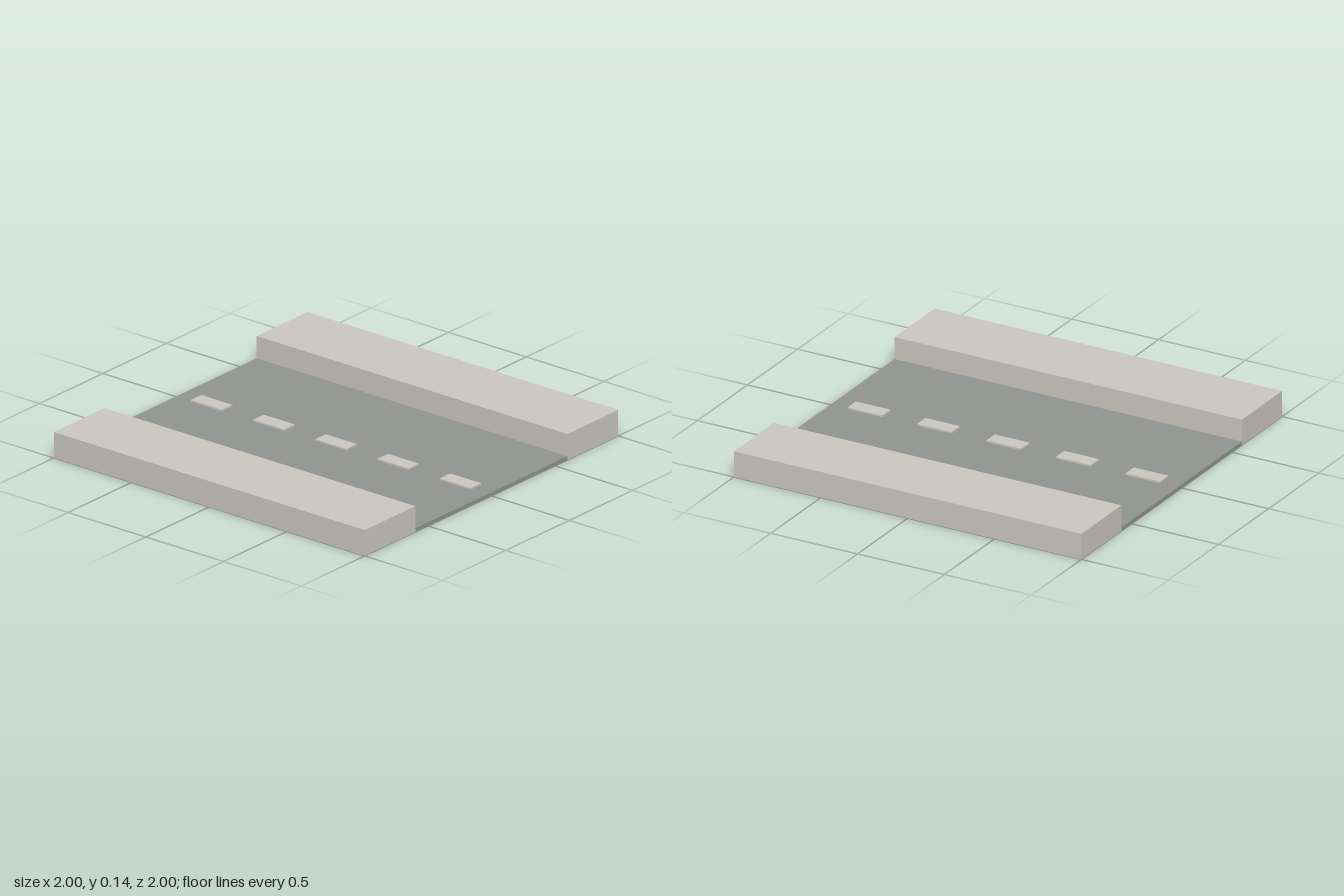
import * as THREE from 'three';

export function createModel() {
  const model = new THREE.Group();
  model.name = 'roadSection';

  const paleConcrete = new THREE.MeshStandardMaterial({ name: 'paleConcrete', color: 0xc9c5be });
  const greyAsphalt = new THREE.MeshStandardMaterial({ name: 'greyAsphalt', color: 0x8f928e });

  // Box resting on height y
  function block(name, material, width, height, depth, x, y, z) {
    const mesh = new THREE.Mesh(new THREE.BoxGeometry(width, height, depth), material);
    mesh.name = name;
    mesh.position.set(x, y + height / 2, z);
    model.add(mesh);
  }

  // Road bed between the pavements
  block('roadSurface', greyAsphalt, 2, 0.02, 1.2, 0, 0, 0);

  // Raised pavement along each side
  block('frontPavement', paleConcrete, 2, 0.14, 0.4, 0, 0, 0.8);
  block('backPavement', paleConcrete, 2, 0.14, 0.4, 0, 0, -0.8);

  // Dashed centre line
  for (let i = 0; i < 5; i++) {
    block(`laneDash${i + 1}`, paleConcrete, 0.2, 0.009, 0.084, -0.8 + i * 0.4, 0.02, 0);
  }

  return model;
}
